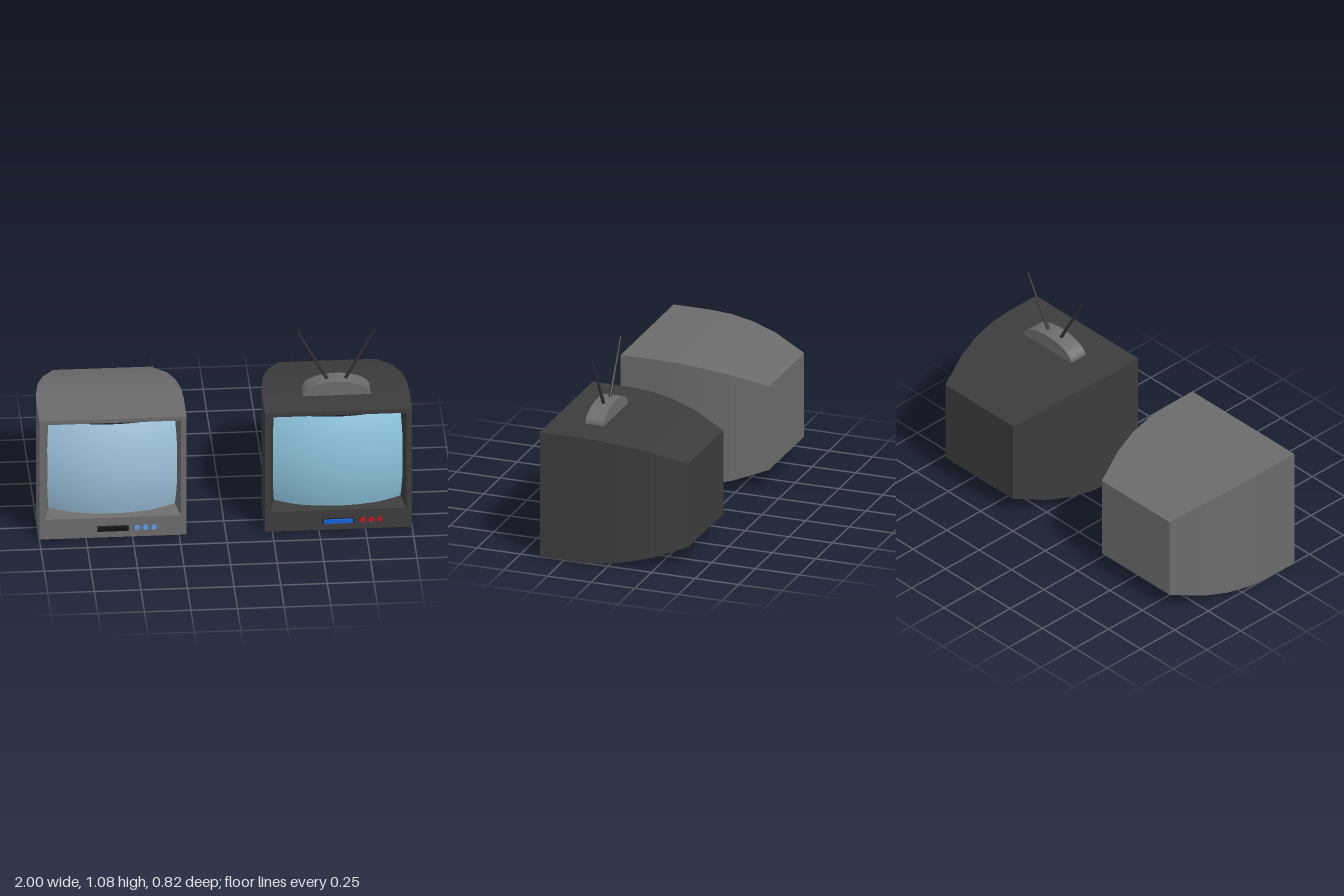
import * as THREE from 'three';

const FRONT = 0.39, BACK = -0.41, CURVE_START = 0.18;

const paint = (color, extra = {}) => new THREE.MeshStandardMaterial({ color, ...extra });

function add(group, name, geometry, material, x = 0, y = 0, z = 0) {
  const mesh = new THREE.Mesh(geometry, material);
  mesh.name = name;
  mesh.position.set(x, y, z);
  group.add(mesh);
  return mesh;
}

// Rectangular cross-section, counter-clockwise seen from the front
const ring = (hw, y0, y1, z) => [[hw, y0, z], [hw, y1, z], [-hw, y1, z], [-hw, y0, z]];

// Cabinet: bevelled screen opening, front face, curved sides and flat back
function cabinetGeometry() {
  const rings = [
    ring(0.338, 0.14, 0.665, 0.285),
    ring(0.365, 0.118, 0.692, FRONT),
    ring(0.395, 0, 0.716, FRONT),
  ];
  for (const z of [CURVE_START, 0.06, -0.08, -0.22, BACK]) {
    const t = ((CURVE_START - z) / (CURVE_START - BACK)) ** 2;
    rings.push(ring(0.395 - 0.133 * t, 0.118 * t, 0.716 - 0.118 * t, z));
  }
  const points = [];
  const quad = (a, b, c, d) => points.push(...a, ...b, ...c, ...a, ...c, ...d);
  for (let r = 0; r < rings.length - 1; r++) {
    for (let i = 0; i < 4; i++) {
      const j = (i + 1) % 4;
      quad(rings[r][i], rings[r + 1][i], rings[r + 1][j], rings[r][j]);
    }
  }
  const [a, b, c, d] = rings[rings.length - 1];
  quad(a, d, c, b);
  const g = new THREE.BufferGeometry();
  g.setAttribute('position', new THREE.Float32BufferAttribute(points, 3));
  g.computeVertexNormals();
  return g;
}

// Screen: rectangular patch of a large sphere, its rim tucked into the bevel
function screenGeometry() {
  const R = 0.82;
  const g = new THREE.PlaneGeometry(0.696, 0.54, 16, 16);
  const p = g.attributes.position;
  for (let i = 0; i < p.count; i++) {
    p.setZ(i, Math.sqrt(R * R - p.getX(i) ** 2 - p.getY(i) ** 2) - R);
  }
  g.computeVertexNormals();
  return g;
}

function television(name, x, colors) {
  const tv = new THREE.Group();
  tv.name = name;
  tv.position.x = x;
  add(tv, 'cabinet', cabinetGeometry(), paint(colors.body, { flatShading: true }));
  add(tv, 'screen', screenGeometry(), paint(colors.screen), 0, 0.4, 0.41);

  // Control panel
  add(tv, 'slotFrame', new THREE.BoxGeometry(0.17, 0.034, 0.01), paint(0x262626), 0, 0.053, FRONT - 0.002);
  add(tv, 'slot', new THREE.BoxGeometry(0.155, 0.022, 0.024), paint(colors.slot), 0, 0.053, FRONT + 0.002);
  const knob = new THREE.CylinderGeometry(0.014, 0.014, 0.016, 16).rotateX(Math.PI / 2);
  for (let i = 0; i < 3; i++) {
    add(tv, 'button', knob, paint(colors.button), 0.13 + i * 0.045, 0.055, FRONT);
  }
  return tv;
}

// Antenna: half-ellipse base with two tapered rods
function antenna() {
  const group = new THREE.Group();
  group.name = 'antenna';
  group.position.set(0.61, 0.714, 0.155);
  const shape = new THREE.Shape();
  shape.absellipse(0, 0, 0.183, 0.082, 0, Math.PI);
  shape.closePath();
  const base = new THREE.ExtrudeGeometry(shape, { depth: 0.105, bevelEnabled: false, curveSegments: 20 });
  add(group, 'antennaBase', base, paint(0x6b6b6b), 0, 0, -0.0525);
  for (const side of [-1, 1]) {
    const from = new THREE.Vector3(side * 0.035, 0.05, 0);
    const to = new THREE.Vector3(side * 0.208, 0.368, 0);
    const dir = to.clone().sub(from);
    const rod = add(group, 'antennaRod', new THREE.CylinderGeometry(0.004, 0.01, dir.length(), 12), paint(0x303030));
    rod.position.copy(from).add(to).multiplyScalar(0.5);
    rod.quaternion.setFromUnitVectors(new THREE.Vector3(0, 1, 0), dir.normalize());
  }
  return group;
}

export function createModel() {
  const model = new THREE.Group();
  model.name = 'televisions';
  model.add(television('greyTelevision', -0.605,
    { body: 0x6b6b6b, screen: 0x9cc2dc, slot: 0x101010, button: 0x5a9cf0 }));
  model.add(television('darkTelevision', 0.605,
    { body: 0x3c3c3c, screen: 0x8cc4de, slot: 0x1464d8, button: 0xc8141e }));
  model.add(antenna());
  return model;
}
